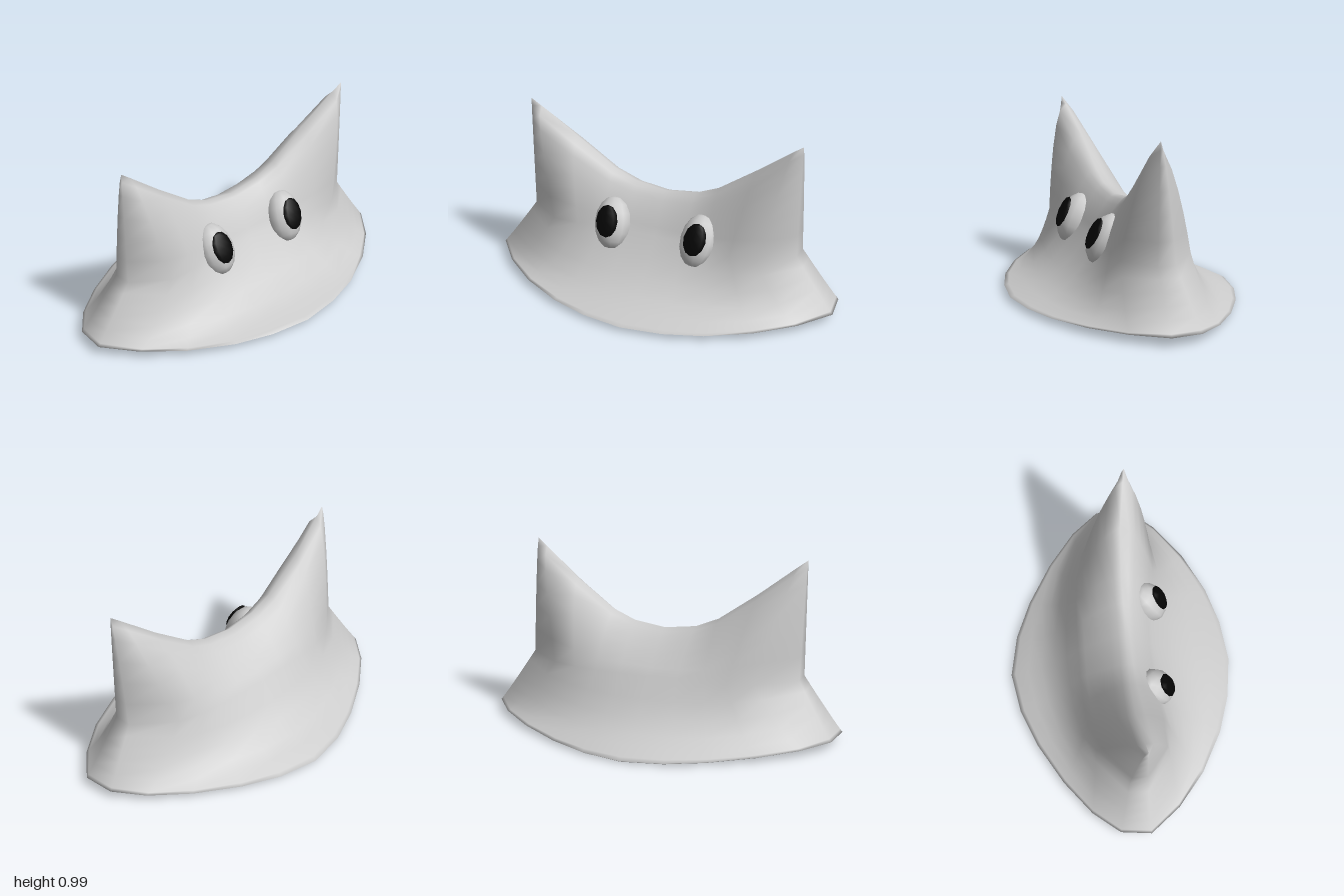
import * as THREE from 'three';
import { mergeVertices } from 'three/addons/utils/BufferGeometryUtils.js';

const { lerp, smoothstep } = THREE.MathUtils;

// Half outlines, listed from the middle of the body (x = 0) to its side
const rimX = [0, 0.23, 0.44, 0.67, 0.86, 1.0];
const ridgeX = [0, 0.18, 0.31, 0.53, 0.73, 0.787];
const ridgeY = [0.555, 0.58, 0.635, 0.79, 0.945, 0.987];
const ridgeZ = [0.03, 0.03, 0.03, 0.04, 0.07, 0.08];
const flare = [2.2, 2.2, 2.1, 1.9, 1.55, 1.05];
const front = {
  rimZ: [0.635, 0.605, 0.54, 0.42, 0.27, 0.1],
  wallX: [0, 0.16, 0.31, 0.45, 0.6, 0.782],
  wallZ: [0.185, 0.19, 0.205, 0.222, 0.222, 0.09],
  bulge: [0.7, 0.65, 0.58, 0.48, 0.48, 0.7],
  lift: 0.025, drop: 0.003,
};
const back = {
  rimZ: [-0.635, -0.592, -0.505, -0.37, -0.22, -0.07],
  wallX: [0, 0.16, 0.31, 0.44, 0.58, 0.782],
  wallZ: [-0.235, -0.235, -0.228, -0.212, -0.175, -0.01],
  bulge: [0.7, 0.7, 0.68, 0.64, 0.66, 0.7],
  lift: 0.048, drop: 0.009,
};

// Columns run round the body: right half front to back, then mirrored
const columns = [];
for (let i = 0; i <= 5; i++) columns.push({ i, half: front, side: 1 });
for (let i = 5; i >= 0; i--) columns.push({ i, half: back, side: 1 });
for (let i = 1; i <= 5; i++) columns.push({ i, half: back, side: -1 });
for (let i = 5; i >= 1; i--) columns.push({ i, half: front, side: -1 });

function rimPoint({ i, half, side }) {
  const x = half === back && i === 5 ? 0.98 : rimX[i];
  const z = half.rimZ[i];
  return new THREE.Vector3(side * x, 0.018 + 0.012 * z + 0.032 * x * x, z);
}

function lipPoint(c) {
  const p = rimPoint(c);
  return new THREE.Vector3(p.x * 0.975, Math.max(0, p.y - c.half.drop), p.z * 0.975);
}

// Underside is hollowed a little towards the front
function undersidePoint(c, scale) {
  const p = rimPoint(c).multiplyScalar(scale);
  p.y = lerp(0.005, 0.037, smoothstep(p.z, -0.28, 0.18));
  return p;
}

// Brim sweeping up from the rim to the foot of the wall
function brimPoint(c, s) {
  const { i, half, side } = c;
  const p = rimPoint(c);
  const lift = half.lift * (1 - i / 5) * (1 - s) * Math.min(1, s * 5);
  return new THREE.Vector3(
    lerp(p.x, side * half.wallX[i], s),
    lerp(p.y, 0.35, Math.pow(s, flare[i])) + lift,
    lerp(p.z, half.wallZ[i], s));
}

// Wall bulging up from its foot to the shared ridge and ear tips
function wallPoint({ i, half, side }, t) {
  return new THREE.Vector3(
    side * lerp(half.wallX[i], ridgeX[i], t),
    lerp(0.35, ridgeY[i], t),
    lerp(ridgeZ[i], half.wallZ[i], Math.pow(1 - t, half.bulge[i])));
}

// Smooth skin through a stack of rings
function loft(rings) {
  const n = columns.length;
  const index = [];
  for (let r = 0; r < rings.length - 1; r++) {
    for (let j = 0; j < n; j++) {
      const a = r * n + j, b = r * n + (j + 1) % n;
      index.push(a, b, b + n, a, b + n, a + n);
    }
  }
  const geometry = new THREE.BufferGeometry().setFromPoints(rings.flat());
  geometry.setIndex(index);
  const merged = mergeVertices(geometry, 1e-4);
  merged.computeVertexNormals();
  return merged;
}

function addMesh(parent, name, geometry, material) {
  const mesh = new THREE.Mesh(geometry, material);
  mesh.name = name;
  parent.add(mesh);
  return mesh;
}

export function createModel() {
  const model = new THREE.Group();
  model.name = 'earedCreature';
  const grey = new THREE.MeshStandardMaterial({ color: 0xcccccc });
  const skin = new THREE.MeshStandardMaterial({ color: 0xcccccc, side: THREE.DoubleSide });
  const black = new THREE.MeshStandardMaterial({ color: 0x050505 });

  // Body with brim, wall and two pointed ears
  const rings = [columns.map(lipPoint)];
  for (const s of [0, 0.06, 0.25, 0.45, 0.65, 0.83, 1]) rings.push(columns.map((c) => brimPoint(c, s)));
  for (const t of [0.2, 0.4, 0.6, 0.8, 0.93, 1]) rings.push(columns.map((c) => wallPoint(c, t)));
  addMesh(model, 'body', loft(rings), skin);

  // Underside closes the rim, from the centre outwards
  const base = [0, 0.3, 0.6, 0.85].map((k) => columns.map((c) => undersidePoint(c, k)));
  base.push(columns.map(lipPoint));
  addMesh(model, 'underside', loft(base), grey);

  // Eyes lean back with the wall and slightly outwards
  for (const side of [1, -1]) {
    const eye = new THREE.Group();
    eye.name = side > 0 ? 'leftEye' : 'rightEye';
    eye.position.set(side * 0.255, 0.373, 0.177);
    eye.rotation.set(-0.45, 0, side * -0.1);
    const ball = addMesh(eye, 'eyeball', new THREE.SphereGeometry(1, 10, 8), grey);
    ball.scale.set(0.105, 0.148, 0.092);
    const pupil = addMesh(eye, 'pupil', new THREE.SphereGeometry(1, 8, 6), black);
    pupil.position.set(side * 0.004, 0.007, 0.077);
    pupil.scale.set(0.064, 0.09, 0.02);
    model.add(eye);
  }
  return model;
}
